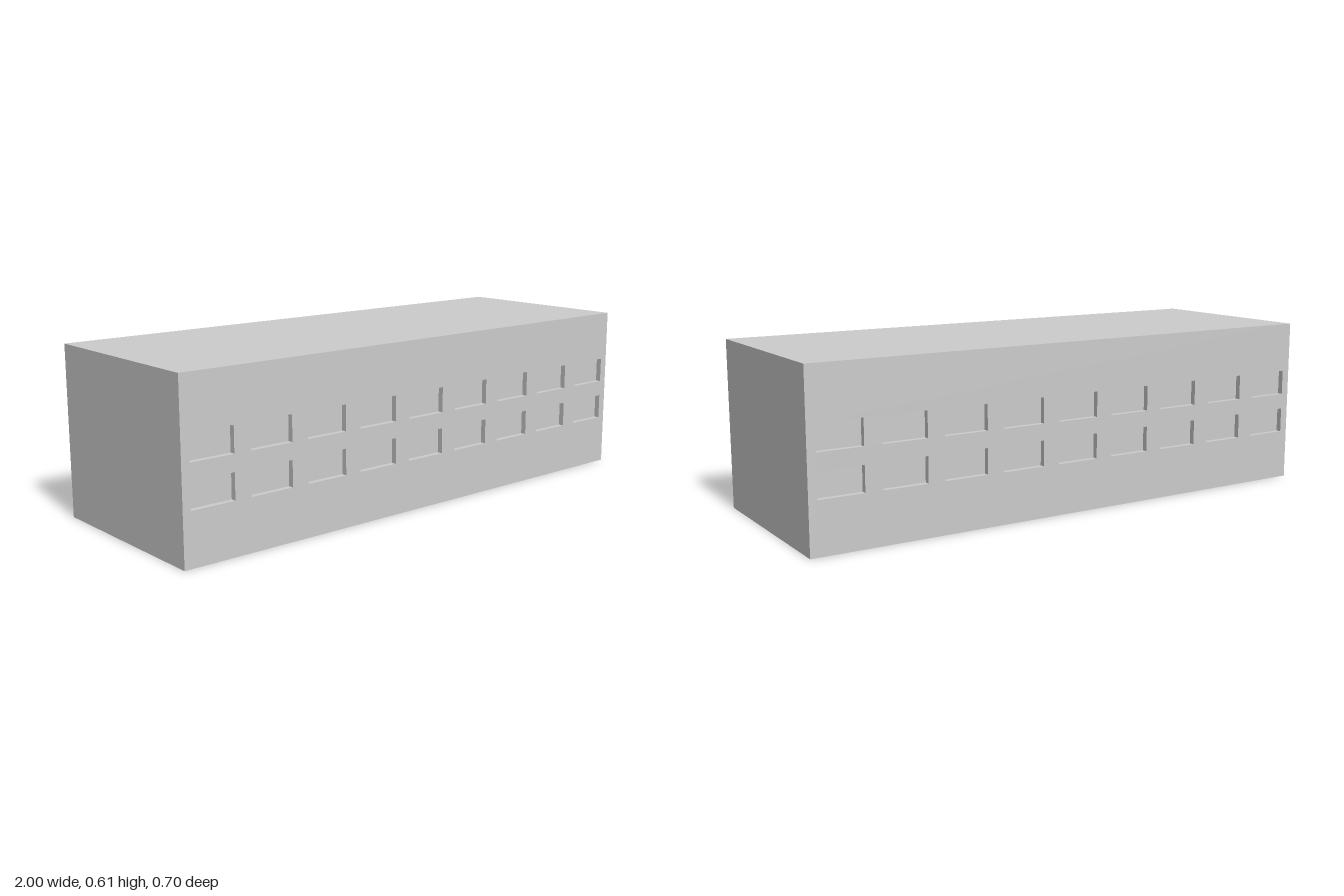
import * as THREE from 'three';
import { mergeGeometries } from 'three/addons/utils/BufferGeometryUtils.js';

const W = 2, H = 0.605, D = 0.705;            // building block
const WIN_W = 0.16, WIN_H = 0.091, DEPTH = 0.02; // recessed windows
const COLS = 9, PITCH = 0.2225, ROWS = [0.228, 0.377];

export function createModel() {
  const group = new THREE.Group();
  const material = new THREE.MeshStandardMaterial({ color: 0xcccccc });
  const add = (parent, geometry, name) => {
    const mesh = new THREE.Mesh(geometry, material);
    mesh.name = name;
    parent.add(mesh);
    return mesh;
  };

  // Side walls, roof and floor: a box without its front and back faces
  const shell = new THREE.BoxGeometry(W, H, D).translate(0, H / 2, 0);
  shell.setIndex([...shell.index.array].slice(0, 24));
  shell.clearGroups();
  add(group, shell, 'sidesRoofAndFloor');

  // Facade outline, pierced by the window grid
  const wall = new THREE.Shape([
    new THREE.Vector2(-W / 2, 0), new THREE.Vector2(W / 2, 0),
    new THREE.Vector2(W / 2, H), new THREE.Vector2(-W / 2, H),
  ]);
  const recesses = [];
  for (const y of ROWS) {
    for (let i = 0; i < COLS; i++) {
      const x = (i - (COLS - 1) / 2) * PITCH;
      const l = x - WIN_W / 2, r = x + WIN_W / 2;
      const b = y - WIN_H / 2, t = y + WIN_H / 2;
      wall.holes.push(new THREE.Path([
        new THREE.Vector2(l, b), new THREE.Vector2(l, t),
        new THREE.Vector2(r, t), new THREE.Vector2(r, b),
      ]));

      // Recess: an inside-out box, open at the front, whose back is the pane
      const box = new THREE.BoxGeometry(WIN_W, WIN_H, DEPTH).translate(x, y, -DEPTH / 2);
      const faces = [...box.index.array];
      faces.splice(24, 6);
      box.setIndex(faces.reverse());
      box.clearGroups();
      const n = box.attributes.normal;
      for (let k = 0; k < n.count; k++) n.setXYZ(k, -n.getX(k), -n.getY(k), -n.getZ(k));
      recesses.push(box);
    }
  }
  const wallGeometry = new THREE.ShapeGeometry(wall);
  const windowGeometry = mergeGeometries(recesses);

  // The same facade on the front and the back
  for (const [name, turn] of [['frontFacade', 0], ['backFacade', Math.PI]]) {
    const facade = new THREE.Group();
    facade.name = name;
    add(facade, wallGeometry, 'wall');
    add(facade, windowGeometry, 'windows');
    facade.rotation.y = turn;
    facade.position.z = turn ? -D / 2 : D / 2;
    group.add(facade);
  }
  return group;
}
